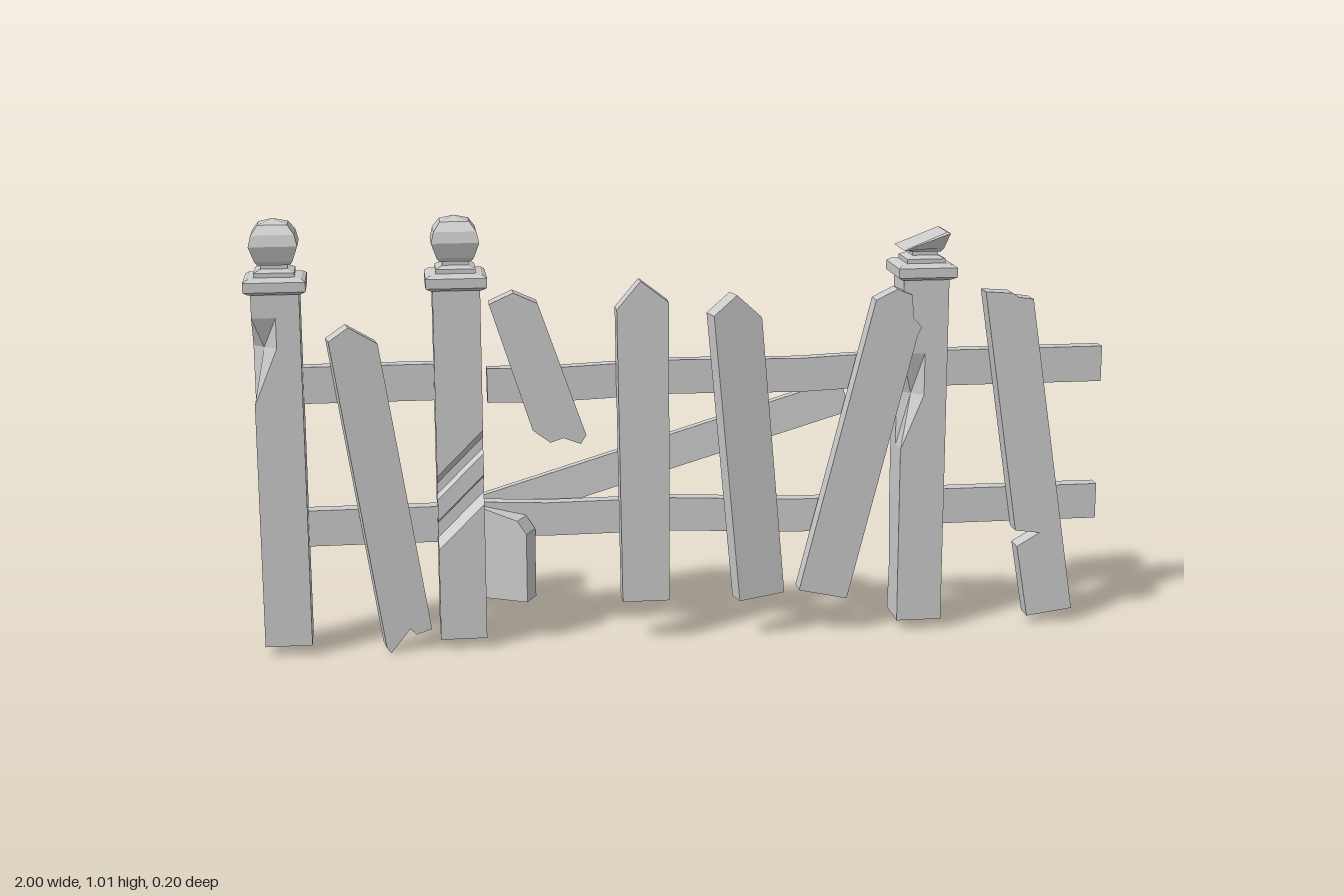
import * as THREE from 'three';

const mat = new THREE.MeshStandardMaterial({ color: 0xcccccc, flatShading: true });
const POST_Z = 0.025;

function add(parent, geo, name) {
  const mesh = new THREE.Mesh(geo, mat);
  mesh.name = name;
  parent.add(mesh);
  return mesh;
}

// Move every vertex by a rule, then rebuild flat normals
function warp(geo, rule) {
  const p = geo.attributes.position;
  const v = new THREE.Vector3();
  for (let i = 0; i < p.count; i++) {
    v.fromBufferAttribute(p, i);
    rule(v);
    p.setXYZ(i, v.x, v.y, v.z);
  }
  geo.computeVertexNormals();
  return geo;
}

// Square turned piece: four-sided lathe, profile given as [half width, y]
function squareTurned(profile) {
  const pts = profile.map(([r, y]) => new THREE.Vector2(r * Math.SQRT2, y));
  return new THREE.LatheGeometry(pts, 4).rotateY(Math.PI / 4).toNonIndexed();
}

// Post shaft from rows: [y, front-left chip, back inset, front groove depth, front slant]
function shaft(rows) {
  const geo = new THREE.BoxGeometry(0.107, rows.length - 1, 0.107, 2, rows.length - 1, 2);
  const half = (rows.length - 1) / 2;
  return warp(geo, (v) => {
    const [y, chip, back, groove = 0, slant = 0] = rows[Math.round(v.y + half)];
    const front = v.z > 0.03;
    v.y = y + (front ? slant * v.x : 0);
    if (front) v.z -= groove;
    if (v.z < -0.03) v.z += back;
    if (front && v.x < -0.03) { v.x += chip; v.z -= chip; }
  }).toNonIndexed();
}

const worn = [[0.03, 0, 0], [0.15, 0, 0.004], [0.26, 0, 0.012], [0.45, 0, 0.004], [0.6, 0, 0.004], [0.73, 0.025, 0.012], [0.8, 0, 0.006], [0.86, 0, 0]];
const gouged = [[0.03, 0, 0], [0.22, 0, 0.012], [0.3, 0, 0.008, 0, 1], [0.325, 0, 0.006, 0.022, 1], [0.36, 0, 0.004, 0.022, 1],
  [0.37, 0, 0.004, 0, 1], [0.42, 0, 0.004, 0, 1], [0.43, 0, 0.004, 0.018, 1], [0.455, 0, 0.004, 0.018, 1], [0.475, 0, 0.004, 0, 1],
  [0.7, 0, 0.01], [0.86, 0, 0]];
const splintered = [[0.03, 0, 0], [0.14, 0, 0.012], [0.3, 0, 0], [0.45, 0, 0], [0.58, 0.028, 0.004], [0.68, 0, 0.008], [0.86, 0, 0]];

function post(name, x, rows, broken) {
  const g = new THREE.Group();
  g.name = name;
  g.position.set(x, 0, POST_Z - 0.003);
  add(g, shaft(rows), 'postShaft');
  add(g, squareTurned([[0, 0.853], [0.058, 0.853], [0.069, 0.86], [0.069, 0.882], [0.06, 0.888], [0.045, 0.89], [0.045, 0.9],
    [0.03, 0.907], [0.03, 0.918], [0, 0.918]]), 'postCap');
  const ball = squareTurned([[0, 0.912], [0.036, 0.916], [0.042, 0.925], [0.054, 0.96], [0.048, 0.985], [0.033, 1.006], [0, 1.017]]);
  // The broken finial is cut off along a slope
  if (broken) warp(ball, (v) => { v.y = Math.min(v.y, 0.943 + 0.4 * v.x); });
  add(g, ball, broken ? 'brokenFinial' : 'finial');
  return g;
}

// Straight plank between two points
function beam(parent, name, a, b, h, d, bend = 0) {
  const A = new THREE.Vector3(...a), B = new THREE.Vector3(...b);
  const dir = B.clone().sub(A), len = dir.length();
  dir.normalize();
  const side = new THREE.Vector3().crossVectors(dir, new THREE.Vector3(0, 1, 0)).normalize();
  const up = new THREE.Vector3().crossVectors(side, dir);
  const geo = warp(new THREE.BoxGeometry(len, h, d, 6, 1, 1), (v) => {
    v.y += bend * Math.cos((v.x / len) * Math.PI * 3);
  });
  geo.applyMatrix4(new THREE.Matrix4().makeBasis(dir, up, side));
  geo.translate(...A.add(B).multiplyScalar(0.5).toArray());
  add(parent, geo.toNonIndexed(), name);
}

// Picket cut from an outline; lean tips it in z, yaw turns it about its slanting axis
function picket(parent, name, outline, { z = 0.055, depth = 0.048, lean = 0, yaw = 0, cx = 0, tilt = 0 } = {}) {
  const shape = new THREE.Shape(outline.map(([x, y]) => new THREE.Vector2(x, y)));
  const geo = new THREE.ExtrudeGeometry(shape, { depth, bevelEnabled: false });
  geo.translate(0, 0, -depth / 2);
  warp(geo, (v) => {
    const off = v.x - cx - tilt * (v.y - 0.4), zl = v.z;
    v.x += yaw * zl;
    v.z = z + zl - yaw * off + lean * (v.y - 0.4);
  });
  add(parent, geo, name);
}

export function createModel() {
  const model = new THREE.Group();
  model.name = 'brokenFence';

  model.add(post('endPost', -0.93, worn, false));
  model.add(post('gatePostRight', -0.527, gouged, false));
  model.add(post('gatePostLeft', 0.556, splintered, true));

  // Fixed rails on both sides of the gate
  for (const y of [0.632, 0.294]) {
    beam(model, 'fenceRailRight', [-0.9, y, 0.002], [-0.54, y, 0.002], 0.085, 0.036);
    beam(model, 'fenceRailLeft', [0.57, y, 0.002], [1.0, y, 0.002], 0.085, 0.036);
  }

  // Sagging gate frame, its lower end swung backwards
  const gate = new THREE.Group();
  gate.name = 'gateFrame';
  model.add(gate);
  beam(gate, 'gateTopRail', [-0.46, 0.622, 0.014], [0.41, 0.632, 0.014], 0.08, 0.032, 0.004);
  beam(gate, 'gateBottomRail', [-0.47, 0.294, -0.03], [0.41, 0.287, 0.012], 0.08, 0.032, 0.004);
  beam(gate, 'diagonalBrace', [-0.5, 0.285, -0.083], [0.38, 0.575, 0.012], 0.08, 0.028);

  // Pickets, from the right end of the fence to the left
  picket(model, 'leaningPicket', [[-0.82, 0.74], [-0.71, 0.02], [-0.7, 0.006], [-0.655, 0.06], [-0.64, 0.045], [-0.605, 0.055],
    [-0.61, 0.09], [-0.71, 0.73], [-0.775, 0.77]], { z: 0.042, lean: -0.03, yaw: 0.16, cx: -0.71, tilt: -0.165 });
  picket(model, 'hangingPicket', [[-0.455, 0.82], [-0.36, 0.525], [-0.32, 0.495], [-0.29, 0.505], [-0.25, 0.49], [-0.237, 0.51],
    [-0.345, 0.82], [-0.4, 0.845]], { z: 0.056 });
  picket(model, 'brokenPicketStub', [[-0.47, 0.105], [-0.365, 0.105], [-0.365, 0.27], [-0.385, 0.3], [-0.42, 0.31], [-0.47, 0.325]],
    { z: 0.002, yaw: -0.5, cx: -0.415 });
  picket(model, 'uprightPicket', [[-0.155, 0.105], [-0.045, 0.105], [-0.045, 0.815], [-0.11, 0.865], [-0.165, 0.8]]);
  picket(model, 'turnedPicket', [[0.115, 0.1], [0.225, 0.11], [0.165, 0.775], [0.105, 0.83], [0.05, 0.785]],
    { z: 0.062, yaw: 0.22, cx: 0.14, tilt: -0.09, lean: 0.015 });
  picket(model, 'slantedPicket', [[0.265, 0.115], [0.38, 0.09], [0.535, 0.725], [0.545, 0.745], [0.525, 0.765], [0.52, 0.82],
    [0.485, 0.835], [0.435, 0.81]], { z: 0.056, lean: 0.02 });
  picket(model, 'notchedPicket', [[0.825, 0.025], [0.935, 0.04], [0.815, 0.8], [0.78, 0.805], [0.765, 0.815], [0.7, 0.82],
    [0.79, 0.24], [0.85, 0.232], [0.795, 0.2]], { z: 0.042 });

  return model;
}
